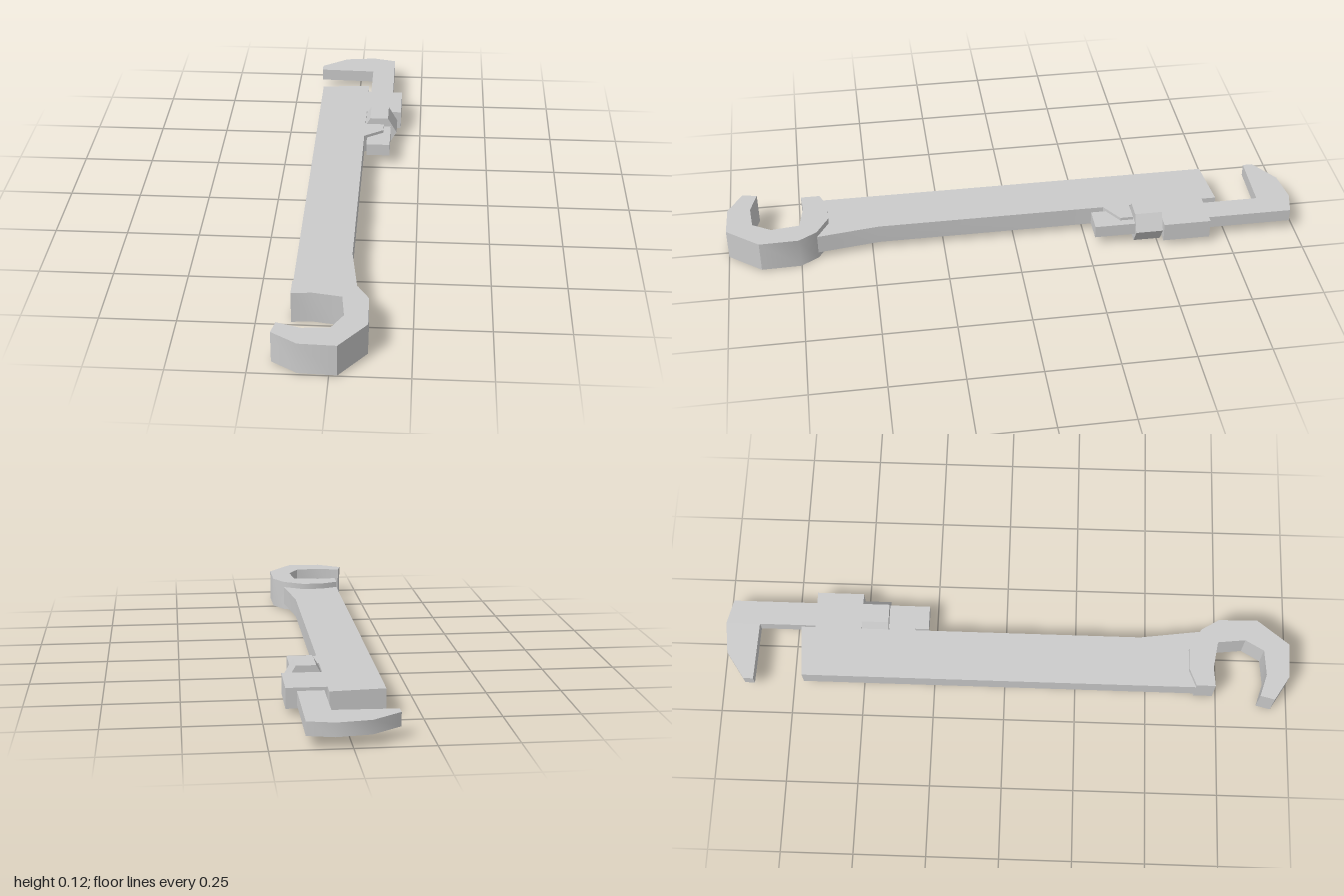
import * as THREE from 'three';
import { toCreasedNormals } from 'three/addons/utils/BufferGeometryUtils.js';

const material = new THREE.MeshStandardMaterial({ color: 0xcccccc });

// Flat plate from an [x, z] outline, filling heights bottom..top
function plate(name, outline, bottom, top, crease = 0.6) {
  const shape = new THREE.Shape(outline.map(([x, z]) => new THREE.Vector2(x, z)));
  let geometry = new THREE.ExtrudeGeometry(shape, { depth: top - bottom, bevelEnabled: false });
  geometry.rotateX(Math.PI / 2).translate(0, top, 0);
  geometry = toCreasedNormals(geometry, crease);
  const mesh = new THREE.Mesh(geometry, material);
  mesh.name = name;
  return mesh;
}

export function createModel() {
  const wrench = new THREE.Group();
  wrench.name = 'wrench';

  // Handle with the fixed jaw face, slide housing and small ledge under the nut
  wrench.add(plate('handle', [
    [-0.137, -0.715], [0.043, -0.73], [0.043, -0.68], [0.175, -0.68],
    [0.175, -0.515], [0.043, -0.515], [0.043, -0.415], [0.113, -0.415],
    [0.113, -0.37], [0.043, -0.322], [0.043, 0.475], [0.072, 0.69],
    [0.02, 0.7], [-0.137, 0.7],
  ], 0.025, 0.093));

  // Sliding hooked jaw with its long shank
  wrench.add(plate('slidingJaw', [
    [-0.153, -0.92], [-0.058, -0.986], [0.053, -1], [0.139, -0.98],
    [0.139, -0.277], [0.053, -0.277], [0.053, -0.88], [-0.153, -0.886],
  ], 0.037, 0.082));

  // Thick open hook at the front end
  wrench.add(plate('openEnd', [
    [-0.137, 0.672], [-0.076, 0.647], [0, 0.647], [0.072, 0.69],
    [0.11, 0.752], [0.113, 0.888], [0.026, 1], [-0.095, 0.996],
    [-0.18, 0.943], [-0.168, 0.893], [-0.09, 0.917], [0, 0.91],
    [0.037, 0.845], [0.026, 0.748], [-0.07, 0.732], [-0.137, 0.738],
  ], 0.003, 0.114));

  // Hexagonal adjusting nut, axis along the shank
  const nutGeometry = new THREE.CylinderGeometry(0.0665, 0.0665, 0.095, 6);
  nutGeometry.rotateY(Math.PI / 2).rotateX(Math.PI / 2);
  const nut = new THREE.Mesh(toCreasedNormals(nutGeometry, 0.3), material);
  nut.name = 'adjustingNut';
  nut.position.set(0.095, 0.058, -0.4665);
  wrench.add(nut);

  return wrench;
}
